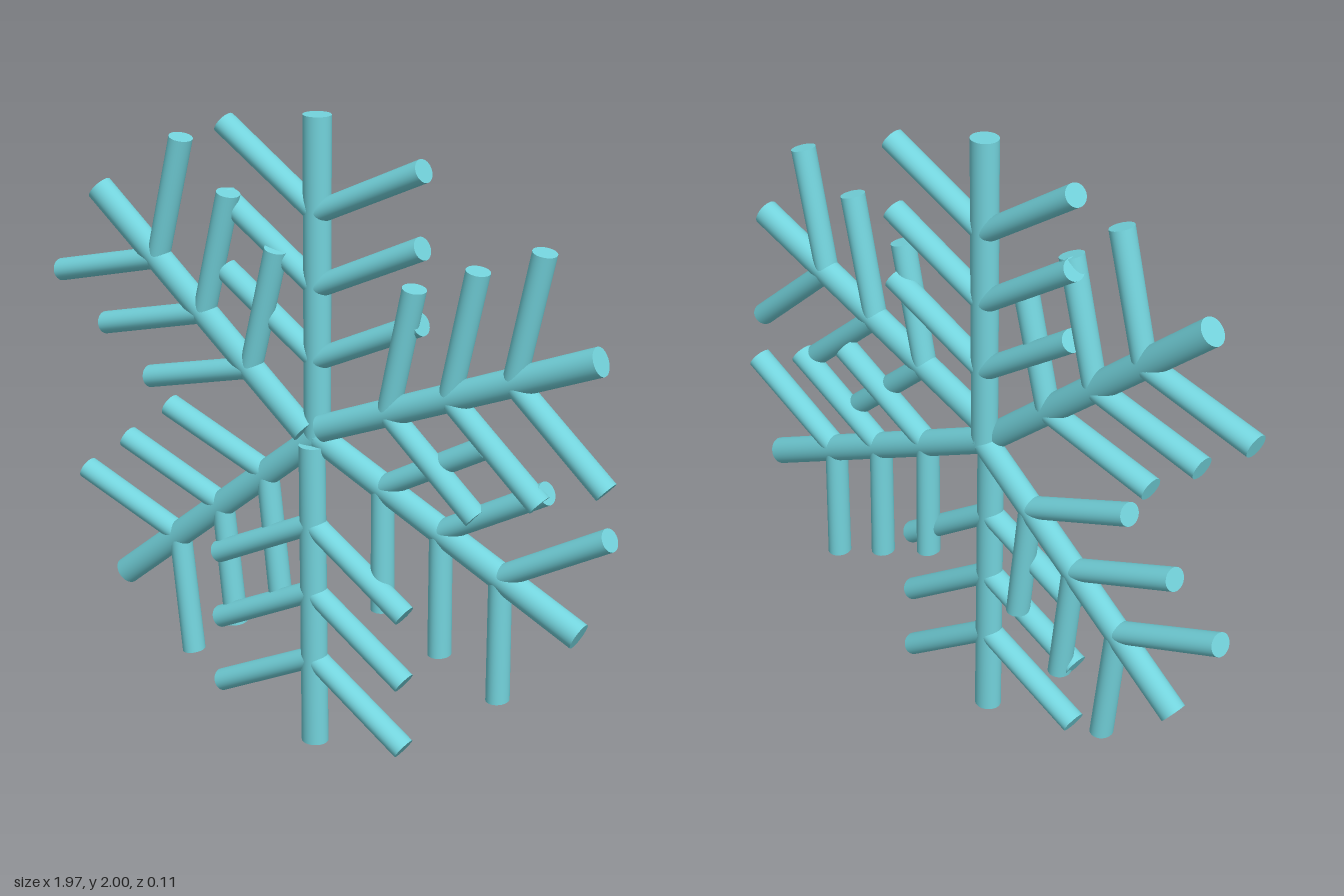
import * as THREE from 'three';

const material = new THREE.MeshStandardMaterial({ color: 0x73d3dc });
const ARM_LENGTH = 0.995;
const BRANCH_LENGTH = 0.4;
const BRANCH_FROM_TIP = [0.29, 0.515, 0.74];
const LAYER = 0.014;

// Tip position, direction of the arm and of its left and right twigs (degrees), depth layer
const ARMS = [
  { name: 'topArm', tip: [-0.03, 2.0], angle: 90, twigs: [146, 26], z: -LAYER },
  { name: 'upperLeftArm', tip: [0.92, 1.445], angle: 23, twigs: [78, -41], z: LAYER },
  { name: 'lowerLeftArm', tip: [0.876, 0.593], angle: -25, twigs: [30, -89.5], z: -LAYER },
  { name: 'bottomArm', tip: [-0.02, 0.0], angle: 270.6, twigs: [326, 207], z: LAYER },
  { name: 'lowerRightArm', tip: [-0.782, 0.381], angle: 220, twigs: [276.5, 159], z: -LAYER },
  { name: 'upperRightArm', tip: [-0.82, 1.674], angle: 140, twigs: [195, 76], z: LAYER },
];

// Unit vector in the front plane
function direction(degrees) {
  const a = THREE.MathUtils.degToRad(degrees);
  return new THREE.Vector3(Math.cos(a), Math.sin(a), 0);
}

// Rod with an oval section, starting at a point and running along an angle
function rod(name, start, degrees, length, halfWidth, halfDepth) {
  const geometry = new THREE.CylinderGeometry(1, 0.96, length, 32);
  geometry.translate(0, length / 2, 0);
  geometry.scale(halfWidth, 1, halfDepth);
  const mesh = new THREE.Mesh(geometry, material);
  mesh.name = name;
  mesh.position.copy(start);
  mesh.rotation.z = THREE.MathUtils.degToRad(degrees - 90);
  return mesh;
}

// One arm: a main stem with three pairs of twigs
function createArm({ name, tip, angle, twigs, z }) {
  const arm = new THREE.Group();
  arm.name = name;
  const end = new THREE.Vector3(tip[0], tip[1], z);
  const along = direction(angle);
  const base = end.clone().addScaledVector(along, -ARM_LENGTH);
  arm.add(rod('stem', base, angle, ARM_LENGTH, 0.043, 0.041));

  BRANCH_FROM_TIP.forEach((distance, i) => {
    const joint = end.clone().addScaledVector(along, -distance);
    twigs.forEach((twigAngle, side) => {
      const label = `${side === 0 ? 'first' : 'second'}SideTwig${i + 1}`;
      arm.add(rod(label, joint, twigAngle, BRANCH_LENGTH, 0.035, 0.04));
    });
  });
  return arm;
}

export function createModel() {
  const snowflake = new THREE.Group();
  snowflake.name = 'snowflake';
  for (const spec of ARMS) snowflake.add(createArm(spec));
  return snowflake;
}
